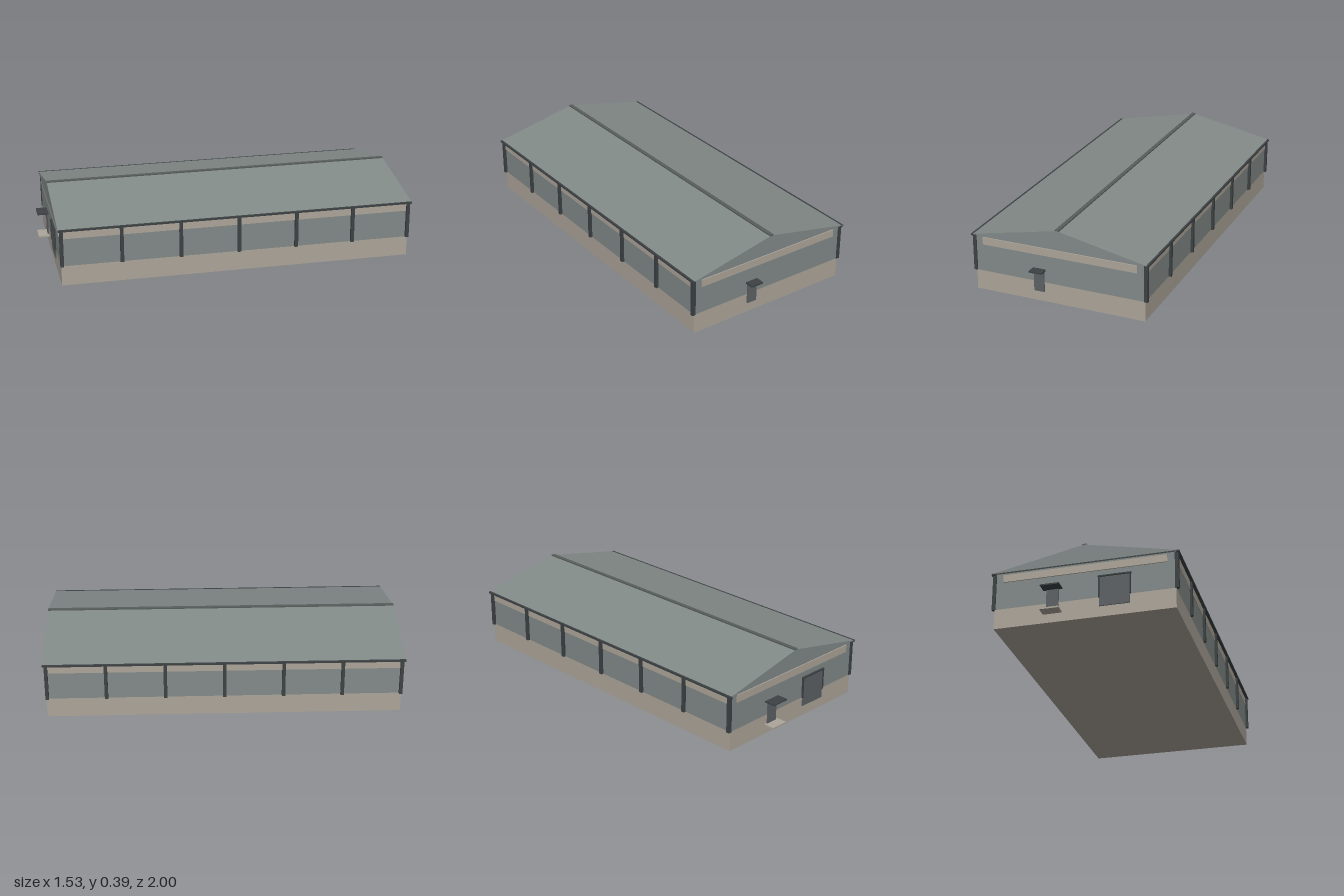
import * as THREE from 'three';

const mat = (name, color) => {
  const m = new THREE.MeshStandardMaterial({ color });
  m.name = name;
  return m;
};

export function createModel() {
  const beige = mat('beige plaster', 0xada59a);
  const wall = mat('grey cladding', 0x828a89);
  const roofGrey = mat('roof grey', 0x828a88);
  const dark = mat('dark steel', 0x3d4244);
  const door = mat('door grey', 0x5d6265);
  const ridgeGrey = mat('ridge grey', 0x585e5c);

  const hall = new THREE.Group();
  hall.name = 'hall';
  // Box given by its centre in x and z, and its bottom and top heights
  const box = (name, material, w, d, y0, y1, x = 0, z = 0) => {
    const m = new THREE.Mesh(new THREE.BoxGeometry(w, y1 - y0, d), material);
    m.position.set(x, (y0 + y1) / 2, z);
    m.name = name;
    hall.add(m);
    return m;
  };

  const A = 0.438, B = 0.88; // half width and half length of the walls
  const RA = 0.455, RB = 0.892; // half width and half length of the roof
  const eave = 0.288, peak = 0.383;

  // Walls
  box('plinth', beige, 2 * A, 2 * B, 0, 0.1);
  box('upperWall', wall, 2 * A, 2 * B, 0.1, eave);

  // Gable roof
  const profile = new THREE.Shape([
    new THREE.Vector2(-RA, eave), new THREE.Vector2(RA, eave), new THREE.Vector2(0, peak),
  ]);
  const roofGeo = new THREE.ExtrudeGeometry(profile, { depth: 2 * RB, bevelEnabled: false });
  roofGeo.translate(0, 0, -RB);
  const roof = new THREE.Mesh(roofGeo, [wall, roofGrey]);
  roof.name = 'roof';
  hall.add(roof);
  box('ridgeCap', ridgeGrey, 0.02, 2 * RB, peak - 0.004, peak + 0.004);

  for (const s of [-1, 1]) {
    // Light bands below the eaves
    box('sideBand', beige, 0.004, 2 * B, 0.24, 0.284, s * (A + 0.001));
    box('gableBand', beige, 0.796, 0.006, 0.24, 0.278, 0, s * (B + 0.002));
    // Gutters
    box('gutter', dark, 0.014, 2 * RB, 0.281, 0.29, s * (RA - 0.006));
    // Columns along the long sides
    for (let i = 0; i < 7; i++) {
      box('column', dark, 0.018, 0.017, 0.1, 0.284, s * (A + 0.004), -0.876 + i * 0.292);
    }
  }

  // Front entrance
  box('frontDoor', door, 0.06, 0.008, 0.053, 0.168, -0.152, B + 0.002);
  box('frontCanopy', dark, 0.092, 0.056, 0.168, 0.175, -0.152, B + 0.028);
  box('frontLanding', beige, 0.092, 0.056, 0.045, 0.053, -0.152, B + 0.028);

  // Front gate with frame
  box('gate', door, 0.146, 0.006, 0.053, 0.204, 0.147, B + 0.002);
  box('gateHeader', dark, 0.16, 0.012, 0.203, 0.21, 0.147, B + 0.004);
  for (const s of [-1, 1]) box('gatePost', dark, 0.006, 0.01, 0.1, 0.204, 0.147 + s * 0.075, B + 0.004);

  // Back entrance
  box('backDoor', door, 0.052, 0.01, 0.052, 0.16, 0.102, -B - 0.003);
  box('backCanopy', dark, 0.066, 0.046, 0.16, 0.168, 0.102, -B - 0.022);

  // The whole hall stands turned on its plot
  hall.rotation.y = -THREE.MathUtils.degToRad(22.5);
  const model = new THREE.Group();
  model.name = 'warehouse';
  model.add(hall);
  return model;
}
